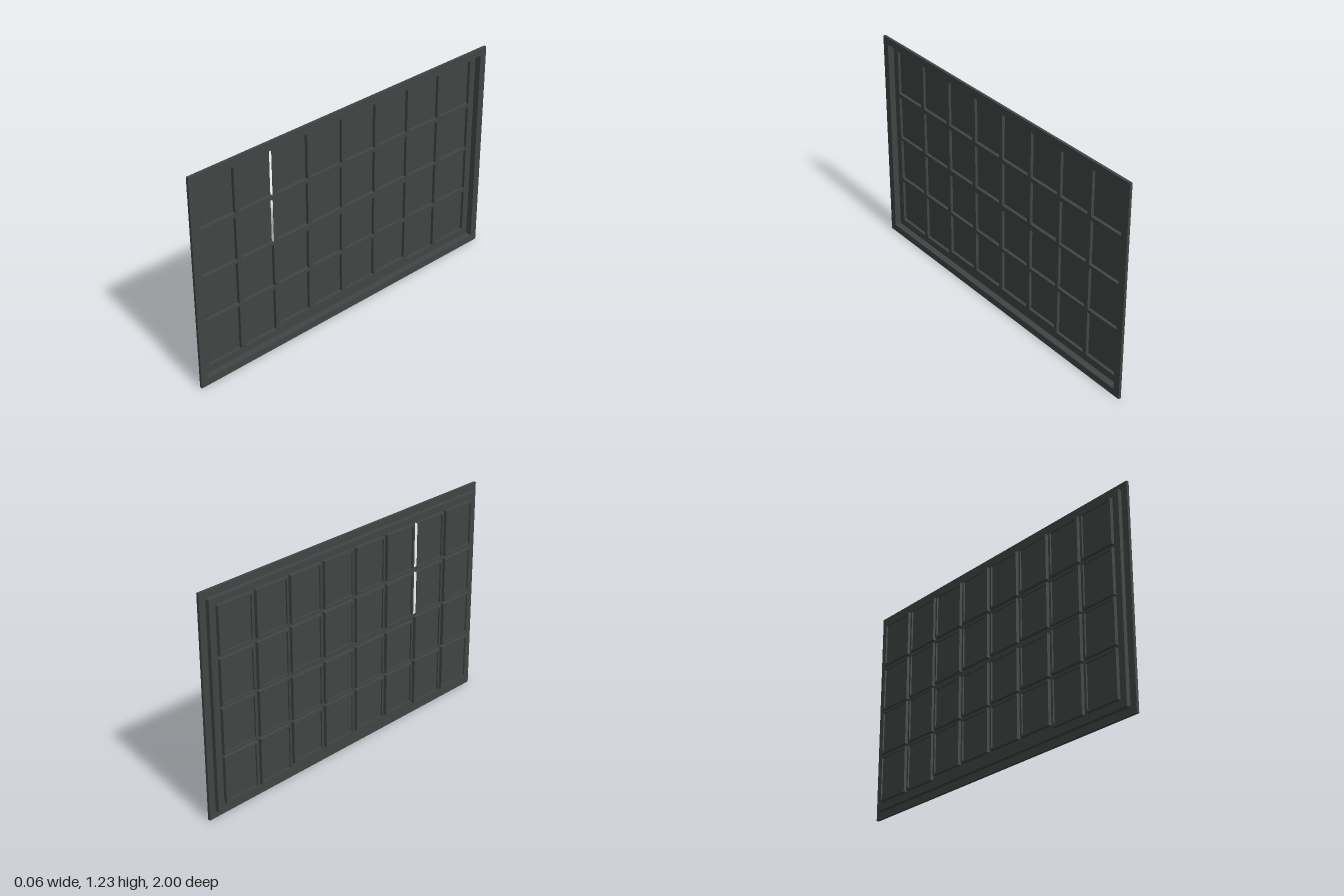
import * as THREE from 'three';

// Depth levels along x, from the open face to the back of the coffers
const FACE = 0.028, FLANGE_BACK = 0.013, TRAY = -0.01, PANEL = -0.02, BACK = -0.029;
const SKIN = 0.002;

// Coffer columns (z from, z to) and rows (y from, y to)
const COLUMNS = [[0.707, 0.922], [0.474, 0.685], [0.243, 0.452], [0.012, 0.222],
  [-0.219, -0.009], [-0.452, -0.24], [-0.68, -0.47], [-0.922, -0.702]];
const SIDE_ROWS = [[0.08, 0.342], [0.358, 0.61], [0.622, 0.877], [0.896, 1.155]];
const MIDDLE_ROWS = [[0.1, 0.342], [0.358, 0.596], [0.626, 0.877], [0.896, 1.155]];

const inset = ([z0, z1, y0, y1], d) => [z0 + d, z1 - d, y0 + d, y1 - d];

// Rectangle outline drawn in (-z, y), matching the rotation in plate()
function outline([z0, z1, y0, y1], path) {
  path.moveTo(-z1, y0);
  path.lineTo(-z0, y0);
  path.lineTo(-z0, y1);
  path.lineTo(-z1, y1);
  path.closePath();
  return path;
}

export function createModel() {
  const model = new THREE.Group();
  model.name = 'cofferedPanel';
  const slate = new THREE.MeshStandardMaterial({ color: 0x404645 });
  slate.name = 'darkSlate';

  // Upright plate with rectangular holes, between two depths
  function plate(name, rect, holes, x0, x1, parent) {
    const shape = outline(rect, new THREE.Shape());
    holes.forEach(h => shape.holes.push(outline(h, new THREE.Path())));
    const geo = new THREE.ExtrudeGeometry(shape, { depth: x1 - x0, bevelEnabled: false });
    geo.rotateY(Math.PI / 2);
    geo.translate(x0, 0, 0);
    const mesh = new THREE.Mesh(geo, slate);
    mesh.name = name;
    parent.add(mesh);
  }

  // Outer flange and the tray wall behind it
  const outer = [-1, 1, 0, 1.23];
  const tray = inset(outer, 0.039);
  plate('flange', outer, [inset(tray, SKIN)], FLANGE_BACK, FACE, model);
  plate('trayWall', tray, [inset(tray, SKIN)], TRAY, FLANGE_BACK, model);

  // Coffer openings
  const coffers = [];
  COLUMNS.forEach(([z0, z1], c) => {
    const rows = c > 1 && c < 6 ? MIDDLE_ROWS : SIDE_ROWS;
    rows.forEach(([y0, y1], r) => coffers.push({ rect: [z0, z1, y0, y1], open: c === 1 && r > 1 }));
  });

  // Lattice floor between the coffers
  plate('lattice', tray, coffers.map(c => c.rect), TRAY, TRAY + SKIN, model);

  // Each coffer: side walls, a narrow rim and a raised centre panel
  coffers.forEach(({ rect, open }) => {
    const group = new THREE.Group();
    group.name = 'coffer';
    model.add(group);
    const [z0, z1, y0, y1] = rect;
    const top = TRAY + SKIN;
    plate('bottomWall', [z0, z1, y0, y0 + SKIN], [], BACK, top, group);
    plate('topWall', [z0, z1, y1 - SKIN, y1], [], BACK, top, group);
    plate('frontWall', [z1 - SKIN, z1, y0, y1], [], BACK, top, group);
    // two coffers have an open slot on one side
    if (!open) plate('rearWall', [z0, z0 + SKIN, y0, y1], [], BACK, top, group);
    const centre = inset(rect, 0.01);
    plate('rim', rect, [centre], BACK, BACK + SKIN, group);
    plate('panelEdge', centre, [inset(centre, SKIN)], BACK, PANEL, group);
    plate('panel', centre, [], PANEL, PANEL + SKIN, group);
  });

  return model;
}
